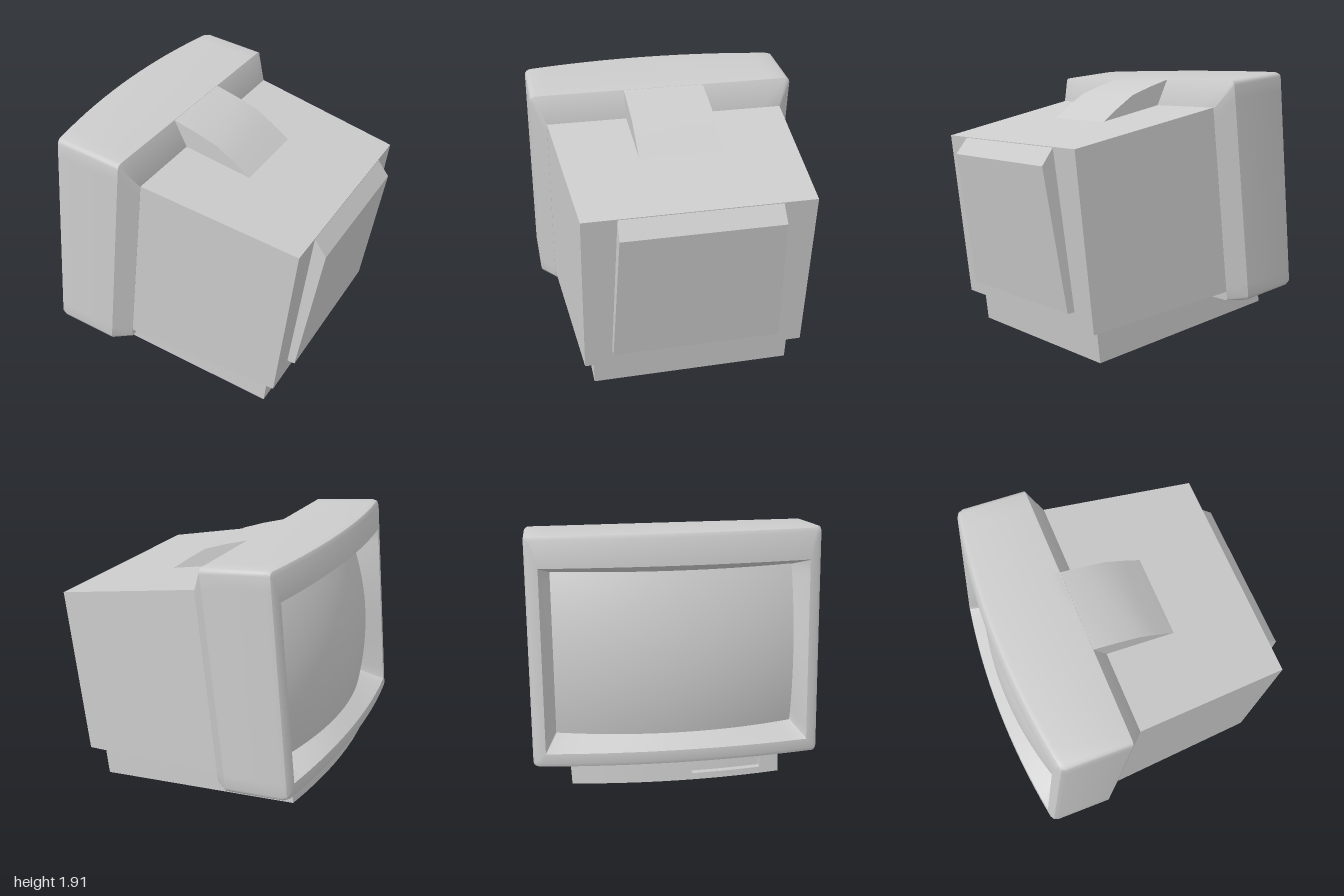
import * as THREE from 'three';
import { toCreasedNormals } from 'three/addons/utils/BufferGeometryUtils.js';

const TILT = 0.12; // the whole set leans back; screen faces -x
const grey = new THREE.MeshStandardMaterial({ color: 0xcccccc });

// Bowed front of the bezel and the convex tube, as depth over (height, width)
const front = (y, z) => -1.037 - 0.02 * (y - 0.24) + 0.085 * (z / 0.97) ** 2;
const tube = (y, z) => -1.02 + 0.14 * (z / 0.81) ** 2 + 0.08 * ((y - 0.98) / 0.55) ** 2;

// Rounded rectangle in the z-y plane, with depth given by a function
function ring(half, y0, y1, r, depth) {
  const pts = [];
  const add = (y, z) => pts.push([depth(y, z), y, z]);
  const corners = [[half - r, y0 + r], [half - r, y1 - r], [-half + r, y1 - r], [-half + r, y0 + r]];
  corners.forEach(([cz, cy], k) => {
    const a0 = (k - 1) * Math.PI / 2;
    for (let i = 0; i <= 3; i++) {
      const a = a0 + i * Math.PI / 6;
      add(cy + r * Math.sin(a), cz + r * Math.cos(a));
    }
    // points along the edge to the next corner
    const [nz, ny] = corners[(k + 1) % 4];
    const a = a0 + Math.PI / 2, oz = r * Math.cos(a), oy = r * Math.sin(a);
    for (let i = 1; i < 16; i++) {
      const t = i / 16;
      add(cy + (ny - cy) * t + oy, cz + (nz - cz) * t + oz);
    }
  });
  return pts;
}

// Skin a list of equal-length rings
function loft(rings, crease) {
  const n = rings[0].length, index = [];
  for (let i = 0; i < rings.length - 1; i++) {
    for (let j = 0; j < n; j++) {
      const a = i * n + j, b = i * n + (j + 1) % n;
      index.push(a, a + n, b, b, a + n, b + n);
    }
  }
  const g = new THREE.BufferGeometry();
  g.setAttribute('position', new THREE.Float32BufferAttribute(rings.flat(2), 3));
  g.setIndex(index);
  return toCreasedNormals(g, crease);
}

// Side profile in x-y, extruded symmetrically across z
function slab(points, width) {
  const shape = new THREE.Shape(points.map(p => new THREE.Vector2(...p)));
  return new THREE.ExtrudeGeometry(shape, { depth: width, bevelEnabled: false })
    .translate(0, 0, -width / 2);
}

// Move every vertex of a geometry by a rule
function warp(g, rule) {
  const p = g.attributes.position;
  for (let i = 0; i < p.count; i++) p.setXYZ(i, ...rule(p.getX(i), p.getY(i), p.getZ(i)));
  g.computeVertexNormals();
  return g;
}

// One layer of the base: bowed front, optionally notched for the control slot
function baseLayer(y0, y1, notched) {
  const bow = z => -0.926 + 0.065 * (z / 0.715) ** 2;
  const s = new THREE.Shape();
  s.moveTo(0.66, 0.715);
  const run = (from, to, inset) => {
    for (let i = 0; i <= 10; i++) {
      const z = from + (to - from) * i / 10;
      s.lineTo(bow(z) + inset, -z);
    }
  };
  if (notched) {
    run(-0.715, 0.1, 0);
    run(0.1, 0.58, 0.05);
    run(0.58, 0.715, 0);
  } else run(-0.715, 0.715, 0);
  s.lineTo(0.66, -0.715);
  const g = new THREE.ExtrudeGeometry(s, { depth: y1 - y0, bevelEnabled: false });
  return toCreasedNormals(g.rotateX(-Math.PI / 2).translate(0, y0, 0), 0.4);
}

export function createModel() {
  const model = new THREE.Group();
  const tv = new THREE.Group();
  tv.name = 'television';
  tv.rotation.z = -TILT;
  model.add(tv);
  const add = (name, geometry, parent = tv) => {
    const mesh = new THREE.Mesh(geometry, grey);
    mesh.name = name;
    parent.add(mesh);
  };

  // Bezel: recess wall, front face, rounded edge, side band, rear chamfer
  const bowed = d => (y, z) => front(y, z) + d;
  add('bezel', loft([
    ring(0.81, 0.43, 1.53, 0.004, tube),
    ring(0.885, 0.34, 1.58, 0.004, bowed(0)),
    ring(0.935, 0.275, 1.76, 0.02, bowed(0)),
    ring(0.958, 0.249, 1.786, 0.03, bowed(0.012)),
    ring(0.97, 0.238, 1.798, 0.035, bowed(0.045)),
    ring(0.97, 0.238, 1.798, 0.035, () => -0.495),
    ring(0.87, 0.25, 1.626, 0.01, () => -0.383),
    ring(0.8, 0.33, 1.6, 0.004, () => -0.383),
  ], 0.6));

  // Convex picture tube
  const screen = new THREE.PlaneGeometry(1.62, 1.1, 24, 24);
  add('screen', warp(screen, (x, y) => [tube(y + 0.98, x), y + 0.98, x]));

  // Tapering rear housing
  add('housing', warp(new THREE.BoxGeometry(1, 1, 1), (x, y, z) => {
    const back = x > 0;
    return [back ? 0.738 : -0.4, y > 0 ? (back ? 1.529 : 1.627) : 0.315,
      Math.sign(z) * (back ? 0.787 : 0.87)];
  }));

  // Hump running from the bezel down onto the housing
  add('topHump', toCreasedNormals(slab([
    [-0.55, 1.5], [0.121, 1.5], [0.121, 1.581], [-0.02, 1.66],
    [-0.158, 1.729], [-0.33, 1.768], [-0.504, 1.798], [-0.55, 1.798],
  ], 0.59), 0.5));

  // Raised back panel, a little narrower at the top
  add('backPanel', warp(slab([
    [0.7, 0.43], [0.793, 0.435], [0.836, 1.421], [0.734, 1.528], [0.7, 1.528],
  ], 2), (x, y, z) => [x, y, z * (0.595 - 0.045 * (y - 0.43) / 1.1)]));

  // Base with a control slot in its front
  const base = new THREE.Group();
  base.name = 'base';
  tv.add(base);
  add('baseBottom', baseLayer(0.08, 0.125, false), base);
  add('baseSlotLayer', baseLayer(0.125, 0.195, true), base);
  add('baseTop', baseLayer(0.195, 0.32, false), base);

  return model;
}
